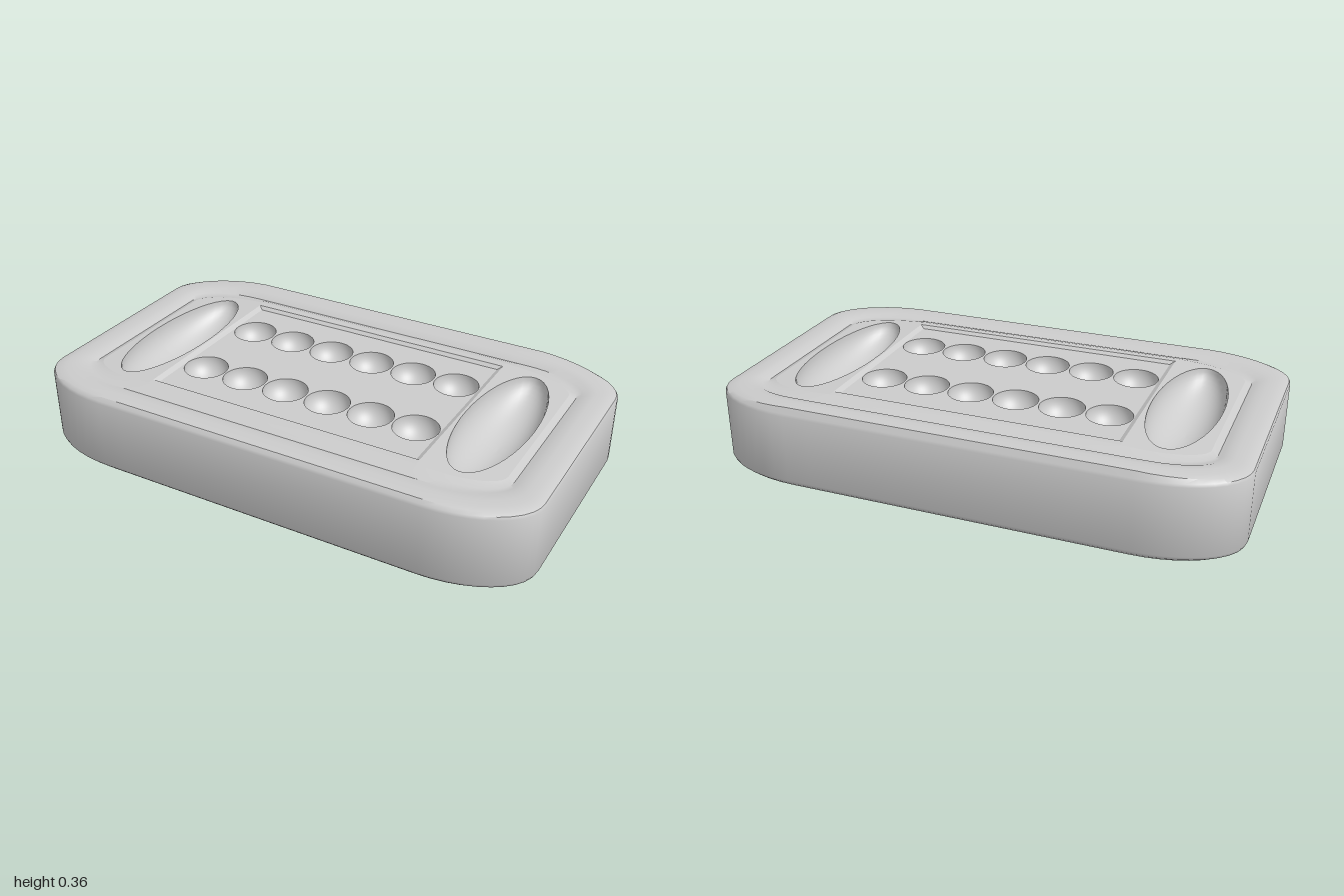
import * as THREE from 'three';
import { toCreasedNormals } from 'three/addons/utils/BufferGeometryUtils.js';

const PANEL_X = 0.553;      // half length of the recessed centre panel
const PANEL_Z = 0.372;      // half width of the recessed centre panel
const DECK_Y = 0.352, FLOOR_Y = 0.341;

// Deck is level in the middle and slopes down towards the ends
const deckY = (x) => DECK_Y - Math.max(0, Math.abs(x) - PANEL_X) * 0.05;

// Rounded rectangle with elliptical corners, as [x, z] points
function outline(hx, hz, rx, rz) {
  const pts = [], n = 10;
  for (let q = 0; q < 4; q++) {
    const sx = q === 0 || q === 3 ? 1 : -1, sz = q < 2 ? 1 : -1;
    for (let i = 0; i <= n; i++) {
      const a = (q + i / n) * Math.PI / 2;
      pts.push([sx * (hx - rx) + rx * Math.cos(a), sz * (hz - rz) + rz * Math.sin(a)]);
    }
    // extra points on the long sides, where the deck starts to slope
    const k = Math.min(PANEL_X, hx - rx);
    if (q === 0) pts.push([k, hz], [-k, hz]);
    if (q === 2) pts.push([-k, -hz], [k, -hz]);
  }
  return pts;
}

// Skin between rings of equal point count
function loft(rings) {
  const pos = rings.flat(2), index = [], n = rings[0].length;
  for (let i = 0; i < rings.length - 1; i++) {
    for (let j = 0; j < n; j++) {
      const a = i * n + j, b = i * n + (j + 1) % n;
      index.push(a, a + n, b, b, a + n, b + n);
    }
  }
  const g = new THREE.BufferGeometry();
  g.setAttribute('position', new THREE.Float32BufferAttribute(pos, 3));
  g.setIndex(index);
  return toCreasedNormals(g, 0.6);
}

// Flat sheet facing up, with elliptical holes [x, z, rx, rz], raised to yAt(x)
function sheet(points, holes, yAt) {
  const shape = new THREE.Shape(points.map(([x, z]) => new THREE.Vector2(x, -z)));
  for (const [x, z, rx, rz] of holes) {
    shape.holes.push(new THREE.Path().absellipse(x, -z, rx, rz, 0, Math.PI * 2, true));
  }
  const g = new THREE.ShapeGeometry(shape, 20).rotateX(-Math.PI / 2);
  return lift(g, yAt);
}

function lift(g, yAt) {
  const p = g.attributes.position;
  for (let i = 0; i < p.count; i++) p.setY(i, p.getY(i) + yAt(p.getX(i)));
  g.computeVertexNormals();
  return g;
}

// Lower half of an ellipsoid
function bowl([x, z, rx, rz], depth, yAt) {
  const g = new THREE.SphereGeometry(1, 40, 14, 0, Math.PI * 2, Math.PI / 2, Math.PI / 2);
  g.scale(rx, depth, rz).translate(x, 0, z);
  return lift(g, yAt);
}

const rect = (hx, hz, cz = 0) => [[-hx, cz - hz], [-hx, cz + hz], [hx, cz + hz], [hx, cz - hz]];

export function createModel() {
  const model = new THREE.Group();
  const grey = new THREE.MeshStandardMaterial({ color: 0xcccccc });
  const open = new THREE.MeshStandardMaterial({ color: 0xcccccc, side: THREE.DoubleSide });
  const add = (name, geometry, material = grey) => {
    const mesh = new THREE.Mesh(geometry, material);
    mesh.name = name;
    model.add(mesh);
  };

  // Body: rounded underside, upright wall, raised rim and groove
  const ring = (hx, hz, rx, rz, yAt) =>
    outline(hx, hz, rx, rz).map(([x, z]) => [x, typeof yAt === 'number' ? yAt : yAt(x, z), z]);
  const rings = [ring(0.001, 0.001, 0.0005, 0.0005, 0)];
  for (let i = 0; i <= 8; i++) {
    const a = (i / 8) * Math.PI / 2, inset = 1 - Math.sin(a);
    rings.push(ring(1 - 0.34 * inset, 0.577 - 0.2 * inset,
      0.35 - 0.25 * inset, 0.2 - 0.13 * inset, 0.063 * (1 - Math.cos(a))));
  }
  // the rim stands higher along the back than along the front
  const rimY = (base) => (x, z) =>
    base + (z < 0 ? 0.016 : 0.006) * THREE.MathUtils.clamp((0.95 - Math.abs(x)) / 0.3, 0, 1);
  rings.push(
    ring(1, 0.577, 0.35, 0.2, 0.322),
    ring(0.995, 0.572, 0.345, 0.197, 0.332),
    ring(0.98, 0.56, 0.335, 0.19, rimY(0.338)),
    ring(0.955, 0.54, 0.32, 0.18, rimY(0.341)),
    ring(0.925, 0.51, 0.3, 0.165, rimY(0.341)),
    ring(0.9, 0.48, 0.28, 0.15, rimY(0.338)),
    ring(0.88, 0.455, 0.26, 0.13, 0.334),
    ring(0.865, 0.43, 0.25, 0.12, (x) => deckY(x) - 0.008),
    ring(0.84, 0.4, 0.24, 0.1, deckY));
  add('body', loft(rings));

  // Sloped deck at each end, with its large oval store
  const deckEdge = outline(0.84, 0.4, 0.24, 0.1);
  for (const s of [1, -1]) {
    const side = s > 0 ? 'left' : 'right';
    const store = [s * 0.69, 0, 0.128, 0.36];
    const edge = deckEdge.filter(([x]) => s * x > PANEL_X - 1e-6);
    add(side + 'EndDeck', sheet(edge, [store], deckY));
    add(side + 'Store', bowl(store, 0.125, deckY), open);
  }

  // Strips of deck in front of and behind the panel
  for (const s of [1, -1]) {
    add(s > 0 ? 'frontDeckStrip' : 'backDeckStrip',
      sheet(rect(PANEL_X, (0.4 - PANEL_Z) / 2, s * (0.4 + PANEL_Z) / 2), [], () => DECK_Y));
  }

  // Recessed panel with bevelled border and two rows of six pits
  const corners = (hx, hz, y) => [[hx, y, -hz], [hx, y, hz], [-hx, y, hz], [-hx, y, -hz]];
  add('panelBevel', loft([corners(PANEL_X, PANEL_Z, DECK_Y), corners(0.535, 0.357, FLOOR_Y)]));
  const pits = [];
  for (const z of [-0.17, 0.178]) {
    for (let i = 0; i < 6; i++) pits.push([(i - 2.5) * 0.179, z, 0.085, 0.085]);
  }
  add('panelFloor', sheet(rect(0.535, 0.357), pits, () => FLOOR_Y));
  pits.forEach((p, i) => add('pit' + (i + 1), bowl(p, 0.08, () => FLOOR_Y), open));

  return model;
}
